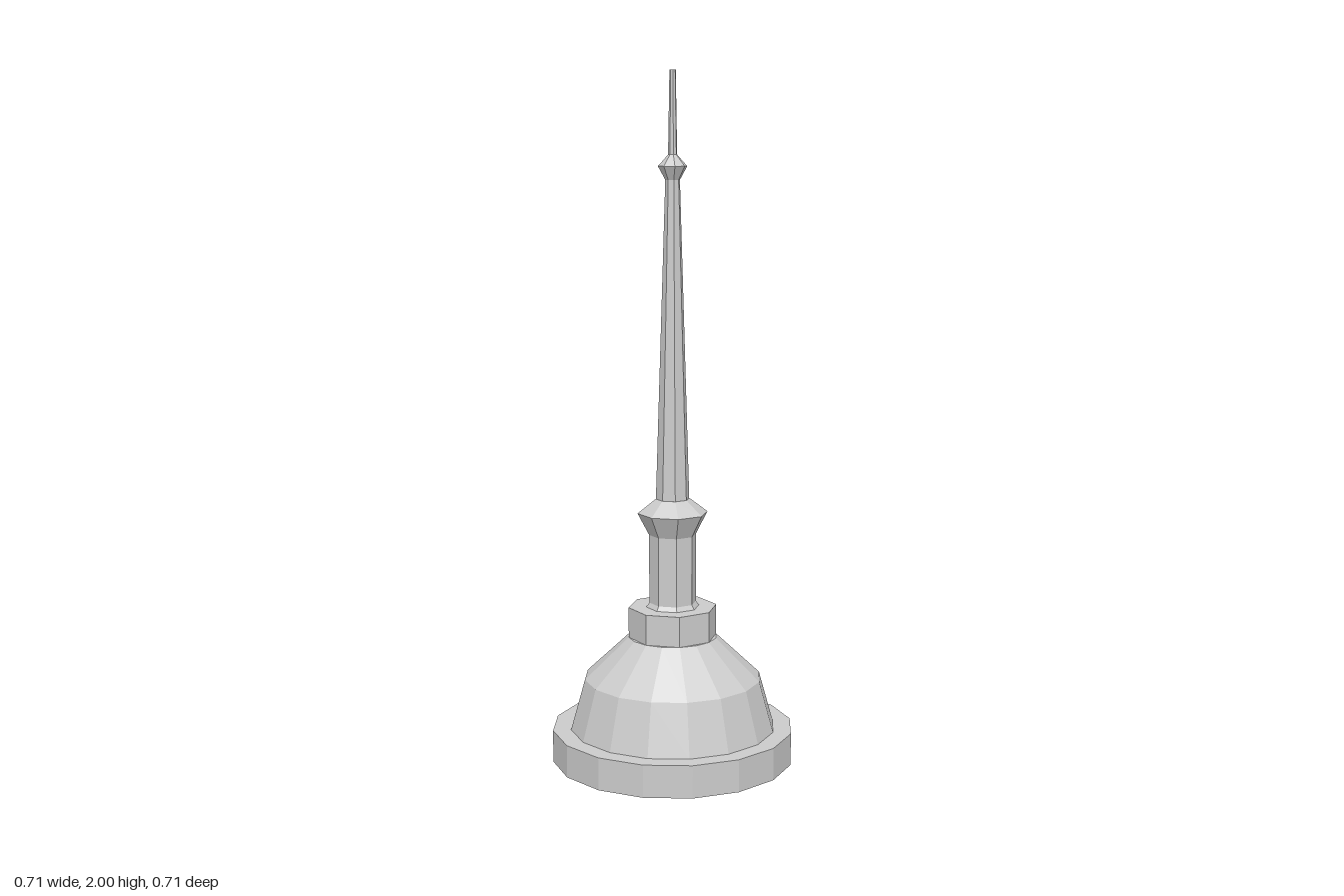
import * as THREE from 'three';

const material = new THREE.MeshStandardMaterial({ color: 0xcccccc, flatShading: true });

// Faceted turned part; profile runs from bottom to top as [radius, height]
function turned(name, sides, profile) {
  const points = profile.map(([r, y]) => new THREE.Vector2(r, y));
  const mesh = new THREE.Mesh(new THREE.LatheGeometry(points, sides), material);
  mesh.name = name;
  return mesh;
}

export function createModel() {
  const model = new THREE.Group();
  model.name = 'domeSpire';

  model.add(
    // Wide sixteen-sided plinth and dome
    turned('base', 16, [[0, 0], [0.355, 0], [0.355, 0.095], [0, 0.095]]),
    turned('dome', 16, [[0.302, 0.095], [0.26, 0.245], [0.13, 0.368], [0, 0.368]]),
    // Eight-sided drum, shaft and flared collar
    turned('drum', 8, [[0, 0.368], [0.13, 0.368], [0.13, 0.457], [0, 0.457]]),
    turned('shaft', 8, [[0.078, 0.457], [0.069, 0.47], [0.069, 0.672]]),
    turned('collar', 8, [[0.069, 0.672], [0.103, 0.737], [0.05, 0.778], [0, 0.778]]),
    // Tapering spire with its finial and needle
    turned('spire', 8, [[0.049, 0.778], [0.021, 1.695]]),
    turned('finial', 8, [[0, 1.695], [0.021, 1.695], [0.042, 1.733], [0.013, 1.765], [0, 1.765]]),
    turned('needle', 8, [[0.013, 1.765], [0.009, 2], [0, 2]])
  );
  return model;
}
